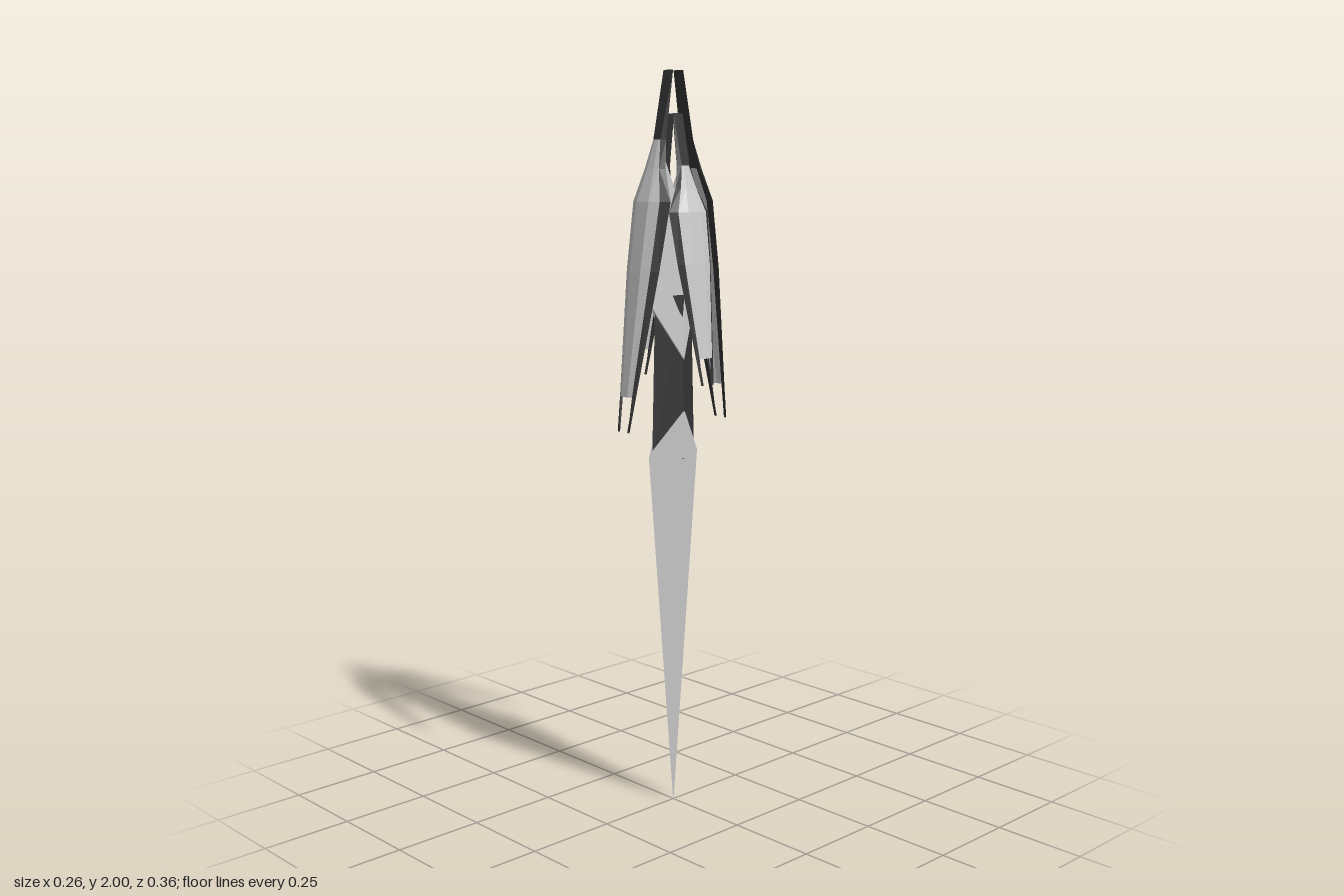
import * as THREE from 'three';

const material = (color) => new THREE.MeshStandardMaterial({ color, flatShading: true, side: THREE.DoubleSide });
const light = material(0xcccccc);
const dark = material(0x333333);

// Skins a list of equal-length point rings; closed rings can be capped
function loft(name, mat, rings, closed = true) {
  const n = rings[0].length;
  const index = [];
  for (let r = 0; r < rings.length - 1; r++) {
    for (let i = 0; i < (closed ? n : n - 1); i++) {
      const a = r * n + i, b = r * n + (i + 1) % n;
      index.push(a, a + n, b, b, a + n, b + n);
    }
  }
  if (closed) {
    const last = (rings.length - 1) * n;
    for (let i = 1; i < n - 1; i++) {
      index.push(0, i, i + 1, last, last + i + 1, last + i);
    }
  }
  const geo = new THREE.BufferGeometry();
  geo.setAttribute('position', new THREE.Float32BufferAttribute(rings.flat(2), 3));
  geo.setIndex(index);
  const flat = geo.toNonIndexed();
  flat.computeVertexNormals();
  const mesh = new THREE.Mesh(flat, mat);
  mesh.name = name;
  return mesh;
}

// Four-cornered ring whose side and front corners sit at different heights
const diamond = (x, yx, z, yz) => [[x, yx, 0], [0, yz, -z], [-x, yx, 0], [0, yz, z]];

// Blade stations: t along blade, frame half width, cover half width, cover edge height, ridge height
const stations = [
  [0, 0.018, 0.014, 0, 0.001],
  [0.19, 0.024, 0.013, 0.010, 0.012],
  [0.27, 0.036, 0.027, 0.015, 0.020],
  [0.36, 0.070, 0.050, 0.020, 0.034],
  [0.55, 0.060, 0.045, 0.018, 0.030],
  [0.90, 0.031, 0.023, 0.007, 0.012],
  [1, 0.023, 0.017, 0, 0.001],
];

// Outward-leaning blade facing +z: dark head and two rails around a bulging cover
function makeBlade(name, top, length, start, end, depth) {
  const blade = new THREE.Group();
  blade.name = name;
  const at = (t, u, n) => [u, top - length * t, start + (end - start) * t + n * depth];

  blade.add(loft('bladeHead', dark, stations.slice(0, 3).map(([t, w, c, e]) =>
    [at(t, -w, 0), at(t, -c, e), at(t, c, e), at(t, w, 0)])));

  for (const s of [-1, 1]) {
    blade.add(loft(s > 0 ? 'leftRail' : 'rightRail', dark, stations.slice(2).map(([t, w, c, e]) =>
      [at(t, s * w, 0), at(t, s * c, e), at(t, s * (c - 0.003), 0)])));
  }

  blade.add(loft('bladeCover', light, stations.slice(1, 6).map(([t, , c, e, ridge]) =>
    [at(t, -c, e), at(t, -c * 0.45, ridge), at(t, c * 0.45, ridge), at(t, c, e)]), false));
  return blade;
}

export function createModel() {
  const model = new THREE.Group();
  model.name = 'bladedSpike';

  // Central shaft: long spike, dark collar and light upper core
  model.add(loft('spike', light, [
    diamond(0.045, 1.11, 0.09, 0.99),
    diamond(0.001, 0.01, 0.001, 0),
  ]));
  model.add(loft('collar', dark, [
    diamond(0.036, 1.42, 0.066, 1.42),
    diamond(0.040, 0.98, 0.078, 0.98),
  ]));
  model.add(loft('upperCore', light, [
    diamond(0.022, 1.66, 0.042, 1.80),
    diamond(0.042, 1.25, 0.078, 1.39),
  ]));

  // Long blades at front and back, shorter ones at the sides
  const names = ['frontBlade', 'leftBlade', 'backBlade', 'rightBlade'];
  names.forEach((name, i) => {
    const blade = i % 2 === 0
      ? makeBlade(name, 2, 0.93, 0.018, 0.18, 1)
      : makeBlade(name, 1.89, 0.7, 0.016, 0.13, 0.7);
    blade.rotation.y = i * Math.PI / 2;
    model.add(blade);
  });
  return model;
}
